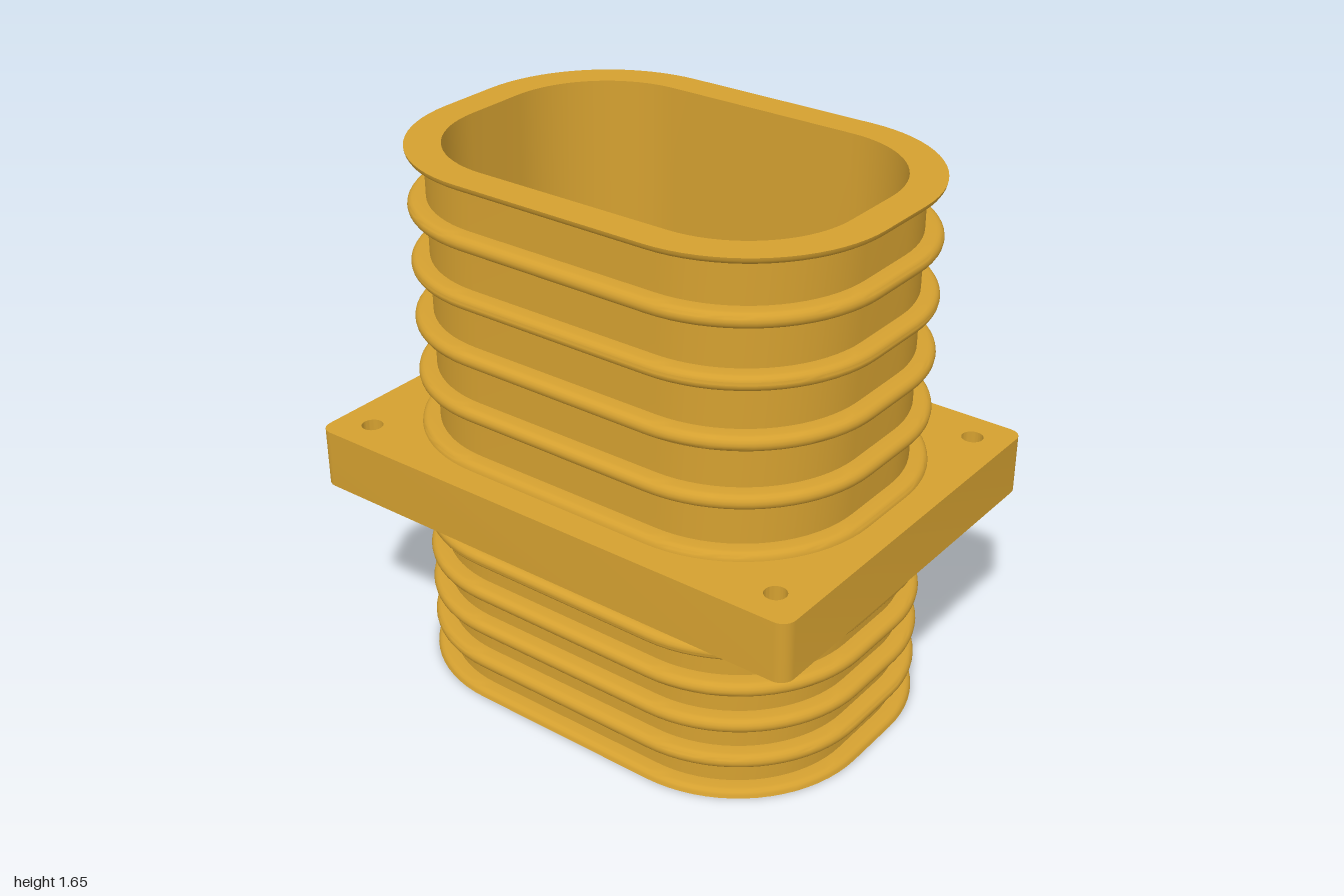
import * as THREE from 'three';
import { toCreasedNormals } from 'three/addons/utils/BufferGeometryUtils.js';

const PLATE_BOTTOM = 0.612, PLATE_TOP = 0.793, TOP = 1.655;
const WALL = 0.05;      // wall thickness around the cavity
const RIDGE = 0.103;    // how far ridges reach from the cavity
const R = 0.022;        // ridge half height

// Points around a rounded rectangle (half sizes a, b, corner radius r)
function roundedRect(a, b, r, segments) {
  const points = [];
  [[1, 1], [-1, 1], [-1, -1], [1, -1]].forEach(([sx, sy], q) => {
    for (let i = 0; i <= segments; i++) {
      const t = (q + i / segments) * Math.PI / 2;
      points.push(new THREE.Vector2(sx * (a - r) + r * Math.cos(t), sy * (b - r) + r * Math.sin(t)));
    }
  });
  return points;
}

// Sweep a section of [offset, y] points around the cavity outline
function sweep(section) {
  const positions = [], index = [];
  let n = 0;
  for (const [d, y] of section) {
    const ring = roundedRect(0.636 + d, 0.421 + d, 0.325 + d, 18);
    n = ring.length;
    ring.forEach(p => positions.push(p.x, y, p.y));
  }
  for (let j = 0; j < section.length - 1; j++) {
    for (let i = 0; i < n; i++) {
      const k = (i + 1) % n;
      const a = j * n + i, b = a + n, c = j * n + k, d = c + n;
      index.push(a, b, c, c, b, d);
    }
  }
  const geometry = new THREE.BufferGeometry();
  geometry.setAttribute('position', new THREE.Float32BufferAttribute(positions, 3));
  geometry.setIndex(index);
  return toCreasedNormals(geometry, 0.6);
}

// Round-nosed ridge at height y; from/to of -1, 0, 1 choose the full or half ridge
function ridge(y, from = -1, to = 1) {
  const points = [];
  if (from < 0) points.push([WALL, y - R]);
  const steps = (to - from) * 4;
  for (let i = 0; i <= steps; i++) {
    const t = (from + (to - from) * i / steps) * Math.PI / 2;
    points.push([RIDGE - R + R * Math.cos(t), y + R * Math.sin(t)]);
  }
  if (to > 0) points.push([WALL, y + R]);
  return points;
}

export function createModel() {
  const model = new THREE.Group();
  model.name = 'ribbedDuctConnector';
  const material = new THREE.MeshStandardMaterial({ color: 0xd4a030 });
  const add = (name, geometry) => {
    const mesh = new THREE.Mesh(geometry, material);
    mesh.name = name;
    model.add(mesh);
  };

  // Mounting plate with four screw holes and two slots in the cavity floor
  const plate = new THREE.Shape(roundedRect(0.826, 0.611, 0.04, 6));
  for (const sx of [-1, 1]) {
    for (const sy of [-1, 1]) {
      plate.holes.push(new THREE.Path().absarc(sx * 0.718, sy * 0.503, 0.032, 0, Math.PI * 2, true));
    }
  }
  for (const s of [-1, 1]) {
    plate.holes.push(new THREE.Path([[-0.358, 0.038], [-0.358, 0.108], [0.358, 0.108], [0.358, 0.038]]
      .map(([x, y]) => new THREE.Vector2(x, s * y))));
  }
  const plateGeometry = new THREE.ExtrudeGeometry(plate, {
    depth: PLATE_TOP - PLATE_BOTTOM, bevelEnabled: false, curveSegments: 24,
  });
  plateGeometry.rotateX(-Math.PI / 2).translate(0, PLATE_BOTTOM, 0);
  add('mountingPlate', toCreasedNormals(plateGeometry, 0.6));

  // Upper sleeve: outside going up, over the rim, then down the cavity
  const upper = [...ridge(PLATE_TOP, 0, 1)];
  const upperStep = (TOP - PLATE_TOP) / 5;
  for (let i = 1; i < 5; i++) upper.push(...ridge(PLATE_TOP + i * upperStep));
  upper.push(...ridge(TOP, -1, 0), [0, TOP], [0, PLATE_TOP]);
  add('upperSleeve', sweep(upper));

  // Lower sleeve: down the cavity, across the bottom rim, then up the outside
  const lower = [[0, PLATE_BOTTOM], [0, 0], ...ridge(0, 0, 1)];
  const lowerStep = PLATE_BOTTOM / 5;
  for (let i = 1; i < 5; i++) lower.push(...ridge(i * lowerStep));
  lower.push(...ridge(PLATE_BOTTOM, -1, 0));
  add('lowerSleeve', sweep(lower));

  model.rotation.y = -Math.PI / 4;
  return model;
}
